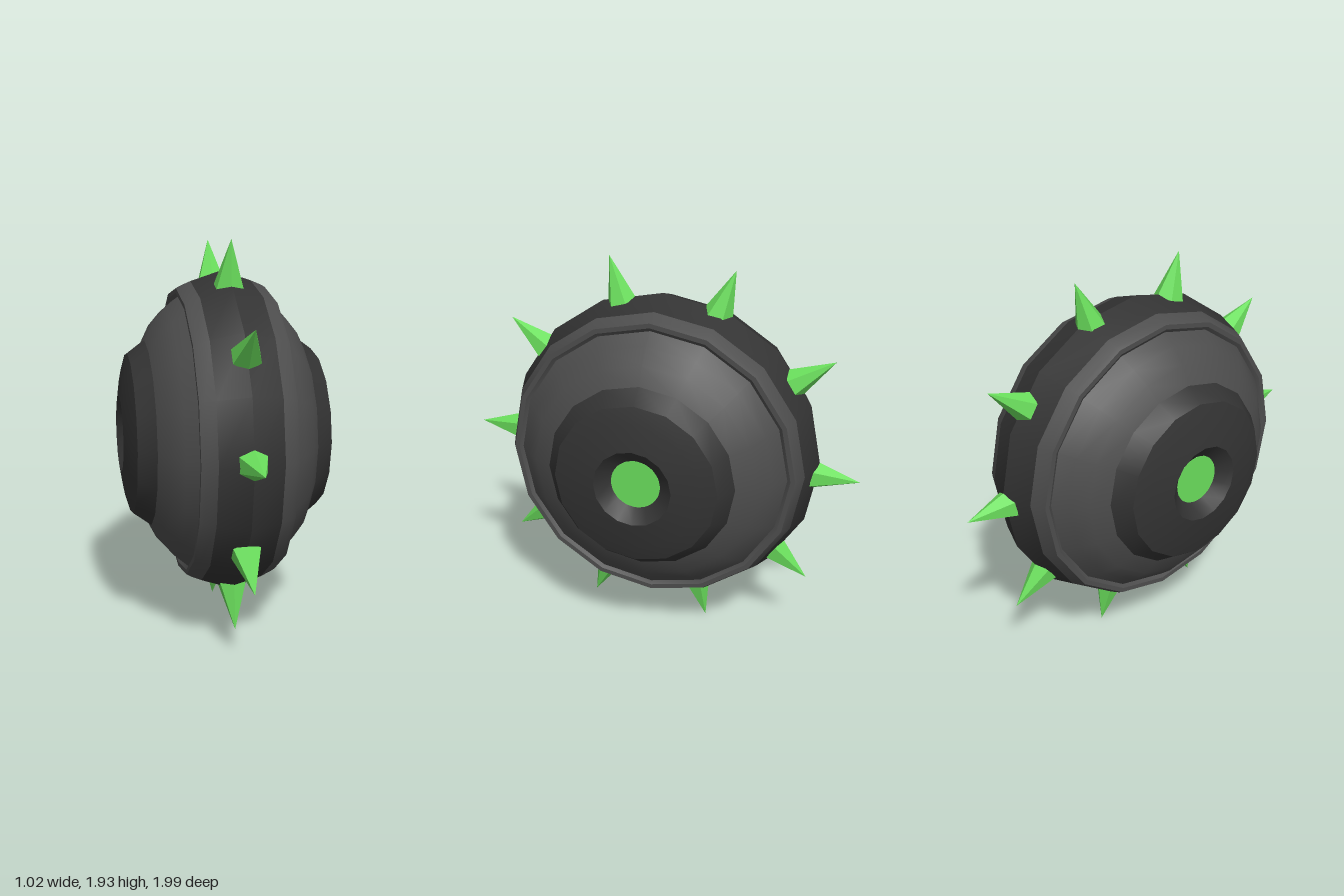
import * as THREE from 'three';
import { toCreasedNormals } from 'three/addons/utils/BufferGeometryUtils.js';

const SIDES = 16;
const dark = new THREE.MeshStandardMaterial({ color: 0x333333 });
const grey = new THREE.MeshStandardMaterial({ color: 0x4d4d4d });
const green = new THREE.MeshStandardMaterial({ color: 0x6ade5c });
const greenFlat = new THREE.MeshStandardMaterial({ color: 0x6ade5c, flatShading: true });

// Turned ring about the wheel axle; profile is [radius, distance along axle]
function ring(name, profile, material, sides = SIDES) {
  const points = profile.map(([r, d]) => new THREE.Vector2(r, d));
  const geometry = toCreasedNormals(new THREE.LatheGeometry(points, sides), 0.5);
  const mesh = new THREE.Mesh(geometry, material);
  mesh.name = name;
  return mesh;
}

// One half of the wheel, built with the axle along +y
function wheelHalf(name) {
  const half = new THREE.Group();
  half.name = name;
  half.add(
    ring('tread', [[0.797, 0], [0.748, 0.15]], dark),
    ring('shoulder', [
      [0.748, 0.15], [0.727, 0.2], [0.715, 0.222], [0.692, 0.222], [0.675, 0.21],
      [0.62, 0.275], [0.552, 0.335], [0.463, 0.38],
    ], grey),
    ring('hub', [
      [0.463, 0.38], [0.4, 0.465], [0.32, 0.489], [0.19, 0.51], [0.12, 0.45],
    ], dark),
  );
  // Recessed disc in the middle of the hub
  const disc = new THREE.Mesh(new THREE.CircleGeometry(0.121, 32), green);
  disc.name = 'hubLight';
  disc.rotation.x = -Math.PI / 2;
  disc.position.y = 0.452;
  half.add(disc);
  return half;
}

export function createModel() {
  const model = new THREE.Group();
  model.name = 'spikedWheel';
  const wheel = new THREE.Group();
  wheel.name = 'wheel';
  wheel.position.set(0, 0.972, -0.004);
  model.add(wheel);

  // Mirrored halves on the x axis
  for (const side of [1, -1]) {
    const half = wheelHalf(side > 0 ? 'leftHalf' : 'rightHalf');
    half.rotation.z = -side * Math.PI / 2;
    wheel.add(half);
  }

  // Six-sided spikes around the tread, angles measured from the front upwards
  const baseRadius = 0.765, tipRadius = 0.997;
  const length = tipRadius - baseRadius;
  const spikeGeometry = new THREE.ConeGeometry(0.075, length, 6);
  spikeGeometry.translate(0, baseRadius + length / 2, 0);
  for (const degrees of [-35.2, 0.9, 37.4, 74.4, 110.7, 147.4, 183.7, 220, 256.2, 292.6]) {
    const spike = new THREE.Mesh(spikeGeometry, greenFlat);
    spike.name = 'spike';
    spike.rotation.x = THREE.MathUtils.degToRad(90 - degrees);
    wheel.add(spike);
  }
  return model;
}
